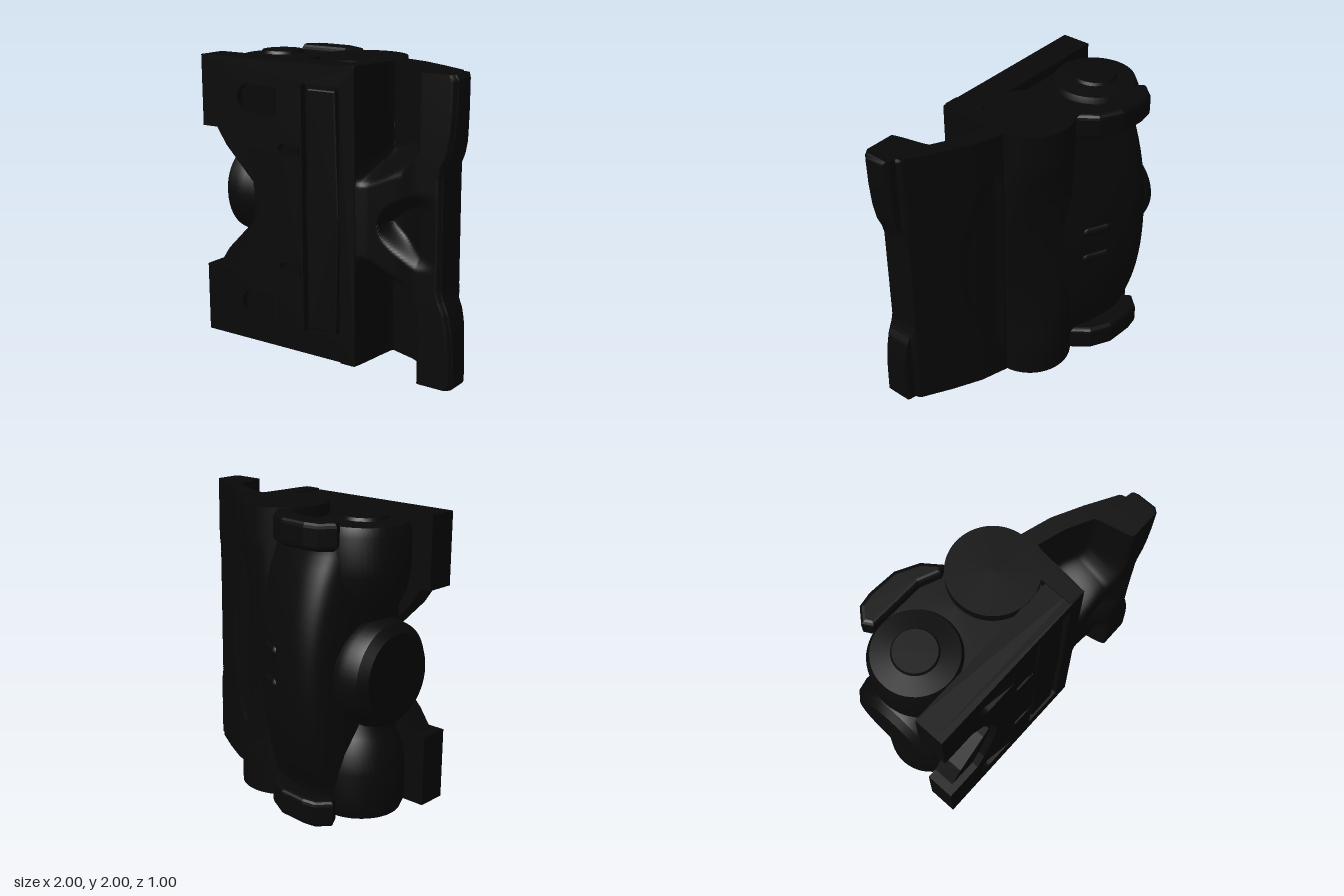
import * as THREE from 'three';
import { toCreasedNormals } from 'three/addons/utils/BufferGeometryUtils.js';

const black = new THREE.MeshStandardMaterial({ color: 0x090909 });
black.name = 'matte black';
const V = (x, y) => new THREE.Vector2(x, y);
const smooth = THREE.MathUtils.smoothstep;
const lerp = THREE.MathUtils.lerp;

// Piecewise linear interpolation through [x, value] pairs
function along(points, x) {
  for (let i = 1; i < points.length; i++) {
    const [x0, v0] = points[i - 1], [x1, v1] = points[i];
    if (x <= x1) return lerp(v0, v1, Math.max(0, (x - x0) / (x1 - x0)));
  }
  return points[points.length - 1][1];
}

// Smooth lathe that keeps its hard edges
function lathe(points) {
  return toCreasedNormals(new THREE.LatheGeometry(points.map(p => V(...p)), 48), 0.6);
}

// Half profile mirrored about mid height, listed from the middle up
function mirroredLathe(half) {
  const lower = half.map(([r, y]) => [r, 2 - y]).reverse();
  return lathe([...lower, ...half]);
}

// Side plate outline with a notch in its left edge
function plateShape(notch) {
  const top = notch.map(([x, y]) => V(x, y));
  const bottom = notch.slice(0, -1).reverse().map(([x, y]) => V(x, 2 - y));
  return new THREE.Shape([V(-1, 0.01), V(0.27, 0.01), V(0.27, 1.99), V(-1, 1.99), ...top, ...bottom]);
}

// Hole with a rounded left end
function slot(x0, x1, y0, y1) {
  const r = (y1 - y0) / 2, p = new THREE.Path();
  p.moveTo(x1, y0);
  p.lineTo(x1, y1);
  p.lineTo(x0 + r, y1);
  p.absarc(x0 + r, y0 + r, r, Math.PI / 2, Math.PI * 1.5, false);
  p.lineTo(x1, y0);
  return p;
}

// Barrel trimmed at mid height, where it blends into the wing
function barrelGeometry() {
  const trim = [[-0.15, -0.3], [0, -0.255], [0.1, -0.195], [0.2, -0.12], [0.3, -0.04]];
  const g = new THREE.CylinderGeometry(0.297, 0.297, 2, 96, 48);
  const pos = g.attributes.position;
  for (let i = 0; i < pos.count; i++) {
    const x = pos.getX(i), y = pos.getY(i), z = pos.getZ(i);
    const blend = Math.max(0, 1 - (y / 0.75) ** 2);
    if (x > -0.15 && z < 0) pos.setZ(i, Math.max(z, lerp(z, along(trim, x), blend)));
  }
  return toCreasedNormals(g.translate(0, 1, 0), 0.7);
}

// Rear body: closed cross-section whose back bulges at mid height
function bodyGeometry() {
  const section = [[-0.3, 0.32], [0.12, 0.3], [0.22, 0.05], [0.11, -0.17], [-0.08, -0.3], [-0.25, -0.395],
    [-0.4, -0.46], [-0.58, -0.5], [-0.7, -0.46], [-0.78, -0.3], [-0.8, 0.05], [-0.74, 0.3]];
  const curve = new THREE.CatmullRomCurve3(section.map(([x, z]) => new THREE.Vector3(x, 0, z)), true);
  const g = new THREE.CylinderGeometry(1, 1, 1.84, 64, 24);
  const pos = g.attributes.position, mid = new THREE.Vector3(-0.3, 0, -0.05);
  for (let i = 0; i < pos.count; i++) {
    const x = pos.getX(i), z = pos.getZ(i), y = pos.getY(i);
    const u = (Math.atan2(x, z) / (2 * Math.PI) + 1) % 1;
    const p = curve.getPoint(u).lerp(mid, 1 - Math.min(1, Math.hypot(x, z)));
    const squeeze = p.z < 0 ? 1 - 0.34 * Math.min(1, Math.abs(y / 0.82) ** 2.3) : 1;
    pos.setXYZ(i, p.x, y + 1, p.z * squeeze);
  }
  return toCreasedNormals(g, 0.7);
}

// Wing: thin outer shell with pockets and an X-shaped web on the front
function wingGeometry() {
  const back = [[0.15, -0.04], [0.3, -0.03], [0.5, 0.03], [0.7, 0.13], [0.91, 0.25], [0.92, 0.285], [0.97, 0.295], [1, 0.33]];
  const edge = [[0, 0.905], [0.36, 0.905], [0.42, 0.92], [0.5, 0.955], [0.62, 0.98], [0.78, 0.995], [1, 1]];
  const g = new THREE.BoxGeometry(1, 1, 1, 110, 150, 1);
  const pos = g.attributes.position;
  for (let i = 0; i < pos.count; i++) {
    const y = (pos.getY(i) + 0.5) * 2, a = Math.abs(y - 1);
    const right = along(edge, a) - 0.02 * smooth(a, 0.97, 1);
    const x = lerp(0.15, right, pos.getX(i) + 0.5);
    const rear = along(back, x);
    let z = rear;
    if (pos.getZ(i) > 0) {
      // End pockets
      const limit = 0.33 + 0.1 * smooth(x, 0.3, 0.62) + 0.14 * smooth(x, 0.6, 0.74);
      const end = smooth(a, limit - 0.1, limit + 0.1) * smooth(x, 0.26, 0.31) * (1 - smooth(x, 0.67, 0.75));
      // Rounded middle pocket, fading out toward the outer edge
      const half = x > 0.43 ? 0.22 * Math.sqrt((x - 0.43) / 0.3) : (x - 0.43) * 2;
      const vee = smooth(Math.min(half, 0.22) - a, -0.03, 0.07) * (1 - smooth(x, 0.5, 0.9));
      const dip = 0.025 * smooth(x, 0.24, 0.36) * (1 - smooth(x, 0.55, 0.74));
      z = lerp(0.495 - dip, rear + 0.12, end) - 0.14 * vee - 0.03 * smooth(x, right - 0.03, right);
    } else {
      // Shallow scoop on the back, meeting the trimmed barrel
      const reach = 0.3 + 0.33 * Math.sqrt(Math.max(0, 1 - (a / 0.75) ** 2));
      z += 0.02 * smooth(x, 0.3, 0.36) * (1 - smooth(x, reach - 0.1, reach));
    }
    pos.setXYZ(i, x, y, z);
  }
  g.computeVertexNormals();
  return toCreasedNormals(g, 0.8);
}

export function createModel() {
  const model = new THREE.Group();
  model.name = 'hingeBlock';
  const add = (name, geometry, x = 0, y = 0, z = 0) => {
    const mesh = new THREE.Mesh(geometry, black);
    mesh.name = name;
    mesh.position.set(x, y, z);
    model.add(mesh);
    return mesh;
  };

  // Main columns and rear body
  add('centreBarrel', barrelGeometry());
  add('sideColumn', mirroredLathe([[0.15, 1.1], [0.16, 1.3], [0.23, 1.43], [0.275, 1.52], [0.3, 1.65], [0.3, 1.9],
    [0.275, 1.96], [0.15, 1.975], [0.14, 1.995], [0, 1.995]]), -0.69);
  add('rearBody', bodyGeometry());
  add('wing', wingGeometry());

  // Round lobe facing sideways at mid height, tapering inward
  const lobe = lathe([[0, 0.45], [0.1, 0.5], [0.24, 0.6], [0.33, 0.71], [0.355, 0.8], [0.36, 0.86], [0.34, 0.95], [0.285, 1], [0, 1]]);
  add('sideLobe', lobe.rotateZ(Math.PI / 2), 0, 1, -0.015);

  // Front plate: base layer with a V notch, face layer with recesses
  const base = plateShape([[-1, 1.5], [-0.93, 1.5], [-0.84, 1.37], [-0.6, 1.13], [-0.545, 1.06], [-0.53, 1]]);
  add('plateBase', new THREE.ExtrudeGeometry(base, { depth: 0.16, bevelEnabled: false }), 0, 0, 0.29);
  const face = plateShape([[-1, 1.5], [-0.72, 1.5], [-0.65, 1.4], [-0.56, 1.2], [-0.53, 1.1], [-0.52, 1]]);
  face.holes.push(new THREE.Path([V(-0.15, 0.16), V(0.15, 0.16), V(0.15, 1.86), V(-0.15, 1.86)]));
  for (const [x0, x1, y, h] of [[-0.69, -0.36, 1.72, 0.2], [-0.35, -0.17, 1.41, 0.07]]) {
    for (const cy of [y, 2 - y]) {
      face.holes.push(slot(x0, x1, cy - h / 2, cy + h / 2));
      // Ramp rising out of the recess
      const ramp = add('recessRamp', new THREE.BoxGeometry(x1 - x0, h, 0.04), (x0 + x1) / 2, cy, 0.455);
      ramp.rotation.y = -0.05 / (x1 - x0);
    }
  }
  add('plateFace', new THREE.ExtrudeGeometry(face, { depth: 0.05, bevelEnabled: false }), 0, 0, 0.45);

  // Long bar inside the central recess
  const bar = new THREE.Shape([V(-0.11, 0.19), V(0.11, 0.19), V(0.135, 1), V(0.11, 1.83), V(-0.11, 1.83), V(-0.135, 1)]);
  add('centreBar', new THREE.ExtrudeGeometry(bar, { depth: 0.03, bevelThickness: 0.012, bevelSize: 0.012, bevelOffset: -0.012, bevelSegments: 2 }), 0, 0, 0.446);

  // Rear lugs at both ends (shape drawn in x and -z)
  const lug = new THREE.Shape([V(-0.74, 0.29), V(-0.36, 0.28), V(-0.22, 0.22), V(-0.16, 0.25), V(-0.25, 0.37), V(-0.4, 0.45), V(-0.6, 0.465), V(-0.7, 0.45), V(-0.78, 0.36)]);
  for (const y of [0.035, 1.855]) {
    const g = new THREE.ExtrudeGeometry(lug, { depth: 0.11, bevelThickness: 0.035, bevelSize: 0.03, bevelOffset: -0.03, bevelSegments: 3 });
    add('rearLug', g.rotateX(-Math.PI / 2), 0, y, 0);
  }

  // Small ridges on the back
  for (const y of [0.89, 1.11]) {
    const ridge = add('backRidge', new THREE.CapsuleGeometry(0.045, 0.14, 6, 16), -0.26, y, -0.365);
    ridge.rotation.set(0, -0.5, Math.PI / 2, 'YXZ');
  }
  return model;
}
